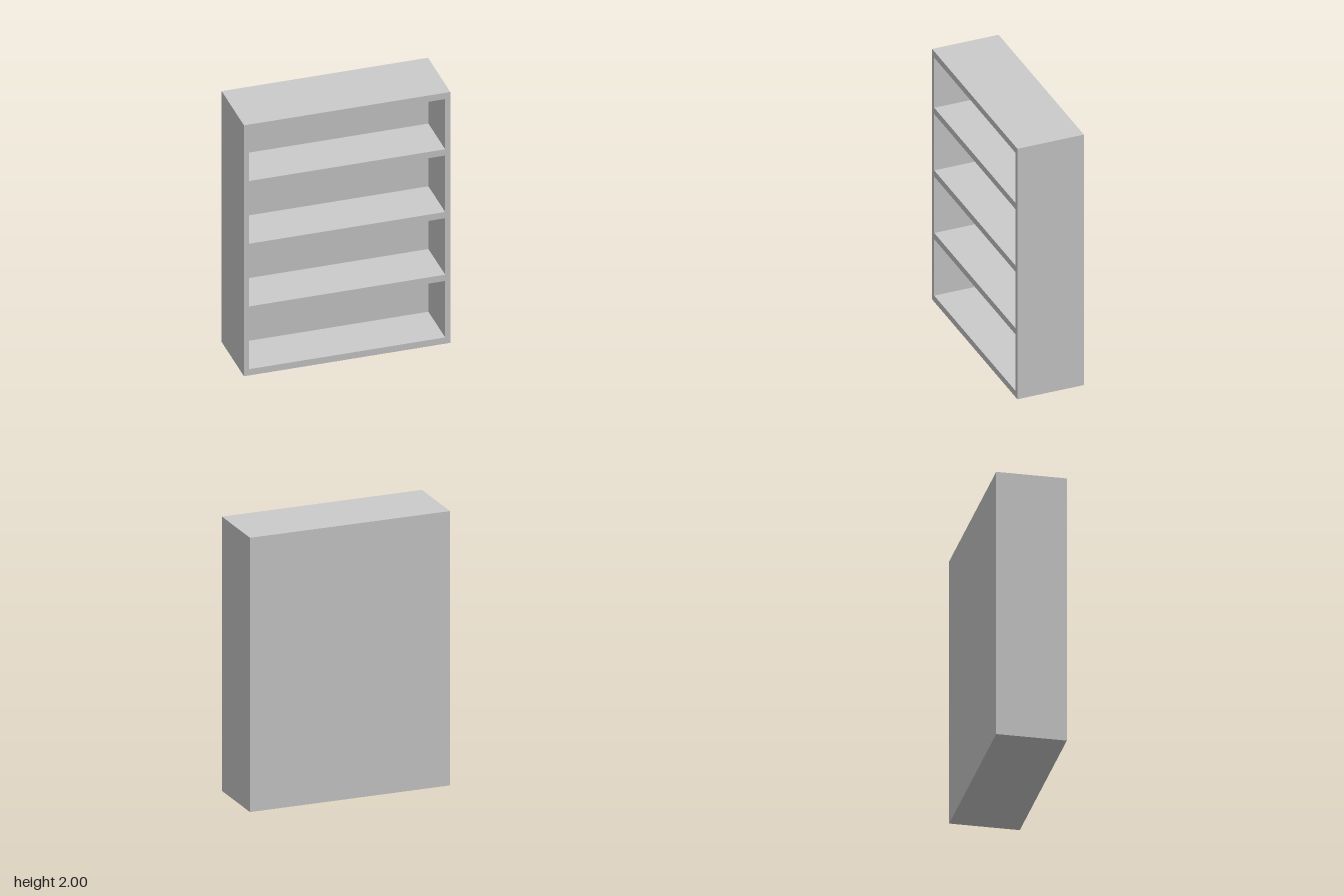
import * as THREE from 'three';

const WIDTH = 1.5, HEIGHT = 2, DEPTH = 0.5;
const SIDE = 0.0375;   // side wall thickness
const BOARD = 0.05;    // shelf, top and base thickness
const BACK = 0.125;    // back panel thickness
const SHELF_STEP = 0.5;

// Adds a closed rectangle to a shape or hole path
function rectangle(path, x0, y0, x1, y1) {
  path.moveTo(x0, y0);
  path.lineTo(x1, y0);
  path.lineTo(x1, y1);
  path.lineTo(x0, y1);
  path.closePath();
  return path;
}

export function createModel() {
  const bookcase = new THREE.Group();
  bookcase.name = 'bookcase';
  const material = new THREE.MeshStandardMaterial({ color: 0xcccccc });

  // Sides, top, base and shelves: one frame with four openings
  const outline = rectangle(new THREE.Shape(), -WIDTH / 2, 0, WIDTH / 2, HEIGHT);
  const inner = WIDTH / 2 - SIDE;
  for (let i = 0; i < 4; i++) {
    const bottom = i * SHELF_STEP + BOARD;
    const top = Math.min((i + 1) * SHELF_STEP, HEIGHT - BOARD);
    outline.holes.push(rectangle(new THREE.Path(), -inner, bottom, inner, top));
  }
  const frameGeometry = new THREE.ExtrudeGeometry(outline, { depth: DEPTH - BACK, bevelEnabled: false });
  frameGeometry.translate(0, 0, BACK - DEPTH / 2);
  const frame = new THREE.Mesh(frameGeometry, material);
  frame.name = 'shelfFrame';
  bookcase.add(frame);

  // Solid back behind the compartments
  const back = new THREE.Mesh(new THREE.BoxGeometry(WIDTH, HEIGHT, BACK), material);
  back.name = 'backPanel';
  back.position.set(0, HEIGHT / 2, (BACK - DEPTH) / 2);
  bookcase.add(back);

  return bookcase;
}
